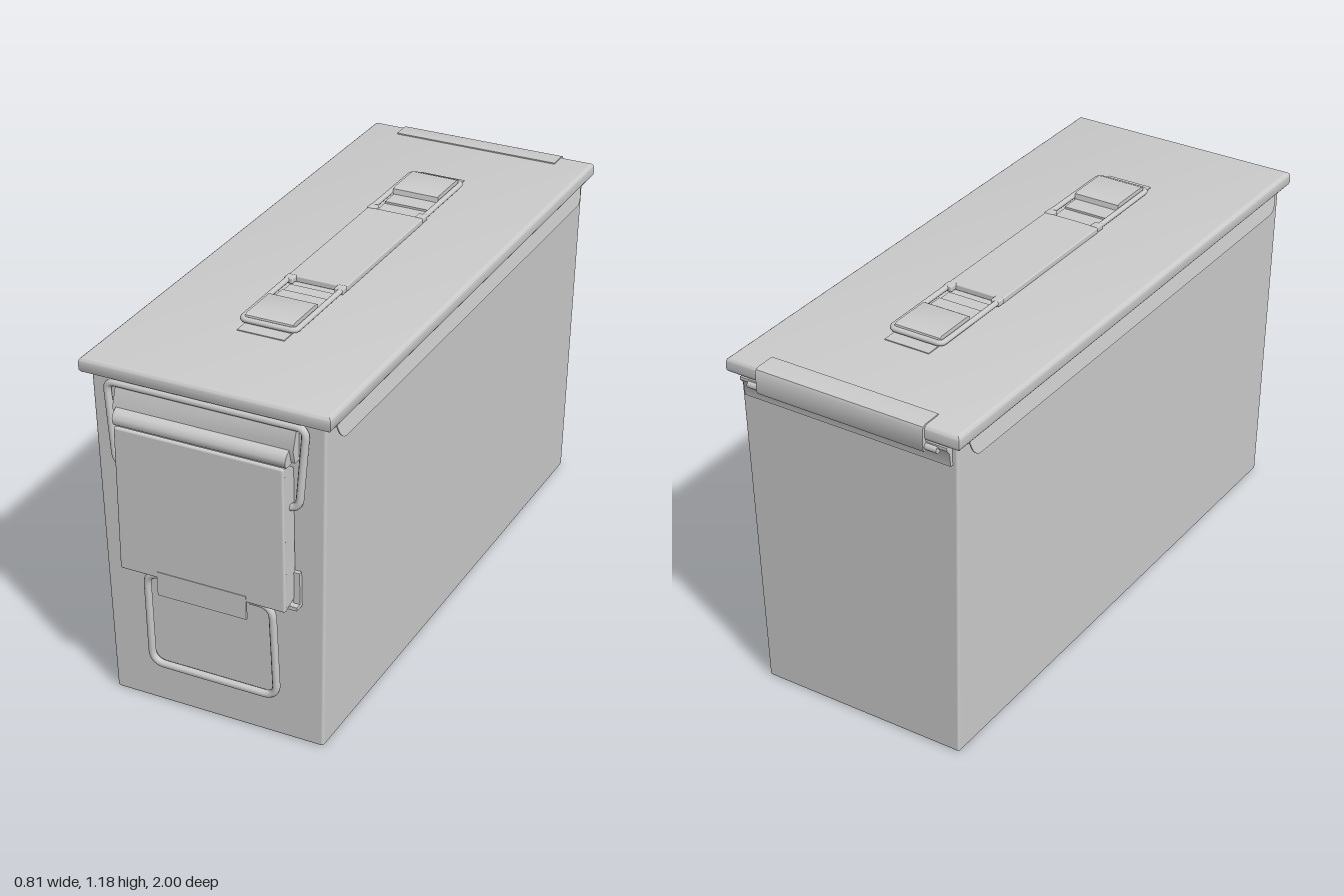
import * as THREE from 'three';
import { RoundedBoxGeometry } from 'three/addons/geometries/RoundedBoxGeometry.js';
import { toCreasedNormals } from 'three/addons/utils/BufferGeometryUtils.js';

const steel = new THREE.MeshStandardMaterial({ color: 0xcccccc, side: THREE.DoubleSide });
const V = (x, y, z) => new THREE.Vector3(x, y, z);

function add(parent, name, geometry) {
  const mesh = new THREE.Mesh(geometry, steel);
  mesh.name = name;
  parent.add(mesh);
  return mesh;
}

// Box given by its extents on each axis, optionally with rounded edges
function block(parent, name, [x0, x1], [y0, y1], [z0, z1], r = 0) {
  const s = [x1 - x0, y1 - y0, z1 - z0];
  const m = add(parent, name, r ? new RoundedBoxGeometry(...s, 3, r) : new THREE.BoxGeometry(...s));
  m.position.set((x0 + x1) / 2, (y0 + y1) / 2, (z0 + z1) / 2);
  return m;
}

// Bent wire: straight runs joined by rounded corners
function wire(parent, name, pts, bend, radius, closed = false) {
  const path = new THREE.CurvePath();
  const n = pts.length;
  const toward = (a, b) => a.clone().add(b.clone().sub(a).setLength(bend));
  let at = closed ? toward(pts[0], pts[1]) : pts[0];
  const first = at;
  for (let i = 1; i < (closed ? n + 1 : n - 1); i++) {
    const p = pts[i % n], before = toward(p, pts[i - 1]), after = toward(p, pts[(i + 1) % n]);
    path.add(new THREE.LineCurve3(at, before));
    path.add(new THREE.QuadraticBezierCurve3(before, p, after));
    at = after;
  }
  if (!closed) path.add(new THREE.LineCurve3(at, pts[n - 1]));
  else if (at.distanceTo(first) > 1e-4) path.add(new THREE.LineCurve3(at, first));
  return add(parent, name, new THREE.TubeGeometry(path, 140, radius, 10, false));
}

// Solid from a (z, y) outline, running along x between -half and +half
function profileX(parent, name, pts, half) {
  const shape = new THREE.Shape(pts.map(([z, y]) => new THREE.Vector2(-z, y)));
  const g = new THREE.ExtrudeGeometry(shape, { depth: 2 * half, bevelEnabled: false });
  g.translate(0, 0, -half).rotateY(Math.PI / 2);
  return add(parent, name, toCreasedNormals(g, 0.7));
}

function buildBody(root) {
  // Tapered can: slightly wider at the top than at the base
  const g = new RoundedBoxGeometry(0.71, 1.12, 1.865, 3, 0.008);
  const p = g.attributes.position;
  for (let i = 0; i < p.count; i++) {
    const t = p.getY(i) / 1.12 + 0.5;
    p.setXYZ(i, p.getX(i) * (1 + 0.068 * t), p.getY(i) + 0.56, p.getZ(i) * (1 + 0.014 * t) - 0.0125);
  }
  add(root, 'body', g);

  // Flared rain flanges along both long sides, with rounded lower corners
  for (const s of [-1, 1]) {
    const shape = new THREE.Shape();
    shape.moveTo(-0.89, 0.065);
    shape.quadraticCurveTo(-0.885, 0, -0.84, 0);
    shape.lineTo(0.87, 0);
    shape.quadraticCurveTo(0.91, 0, 0.915, 0.065);
    const f = new THREE.ExtrudeGeometry(shape, { depth: 0.004, bevelEnabled: false });
    f.rotateY(Math.PI / 2);
    const q = f.attributes.position;
    for (let i = 0; i < q.count; i++) {
      const y = q.getY(i);
      q.setX(i, s * (q.getX(i) + 0.394 - 0.18 * y));
      q.setY(i, y + 1.04);
    }
    if (s < 0) f.setIndex([...Array(q.count).keys()].map(i => i - i % 3 + (2 - i % 3)));
    f.computeVertexNormals();
    add(root, s > 0 ? 'leftFlange' : 'rightFlange', f);
  }
}

function buildLid(root) {
  // Flat lid with a rolled, rounded rim
  const b = 0.014, x = 0.405 - b, z0 = -0.99 + b, z1 = 0.96 - b;
  const shape = new THREE.Shape([[-x, -z1], [x, -z1], [x, -z0], [-x, -z0]].map(c => new THREE.Vector2(...c)));
  const g = new THREE.ExtrudeGeometry(shape, { depth: 0.022, bevelSize: b, bevelThickness: b, bevelSegments: 4 });
  g.rotateX(-Math.PI / 2).translate(0, 1.102 + b, 0);
  add(root, 'lid', toCreasedNormals(g, 0.6));
}

function buildCarryHandle(root) {
  const handle = new THREE.Group();
  handle.name = 'carryHandle';
  handle.position.z = -0.025;
  root.add(handle);
  block(handle, 'gripStrap', [-0.098, 0.098], [1.152, 1.172], [-0.275, 0.275], 0.004);
  // One clip at each end: base plate, raised bridge, lower web and wire loop
  for (const s of [-1, 1]) {
    const clip = new THREE.Group();
    clip.name = s > 0 ? 'frontClip' : 'rearClip';
    clip.rotation.y = s > 0 ? 0 : Math.PI;
    handle.add(clip);
    block(clip, 'basePlate', [-0.078, 0.078], [1.148, 1.155], [0.3, 0.635]);
    profileX(clip, 'bridge', [[0.42, 1.154], [0.425, 1.178], [0.432, 1.182], [0.57, 1.182], [0.58, 1.178], [0.588, 1.154]], 0.08);
    block(clip, 'web', [-0.076, 0.076], [1.152, 1.162], [0.355, 0.42]);
    wire(clip, 'loop', [V(-0.09, 1.166, 0.29), V(-0.09, 1.166, 0.588), V(0.09, 1.166, 0.588), V(0.09, 1.166, 0.29)],
      0.02, 0.009);
    for (const x of [-1, 1]) {
      block(clip, 'strapEar', x > 0 ? [0.07, 0.1] : [-0.1, -0.07], [1.155, 1.174], [0.268, 0.3], 0.004);
    }
  }
}

function buildHinge(root) {
  const hinge = new THREE.Group();
  hinge.name = 'hinge';
  root.add(hinge);
  // Leaf wrapped over the rear lid edge
  profileX(hinge, 'hingeLeaf', [[-0.92, 1.148], [-0.92, 1.156], [-0.985, 1.156], [-0.996, 1.151],
    [-1, 1.142], [-1, 1.08], [-0.995, 1.07], [-0.985, 1.07], [-0.985, 1.148]], 0.29);
  const pin = add(hinge, 'hingePin', new THREE.CylinderGeometry(0.012, 0.012, 0.66, 12));
  pin.rotation.z = Math.PI / 2;
  pin.position.set(0, 1.084, -0.982);
  // Fixed leaf on the back of the can
  profileX(hinge, 'fixedLeaf', [[-0.95, 1.03], [-0.967, 1.03], [-0.972, 1.075], [-0.985, 1.09], [-0.985, 1.1], [-0.95, 1.1]], 0.36);
}

function buildLatch(root) {
  const latch = new THREE.Group();
  latch.name = 'latch';
  root.add(latch);
  // Pressed cover with folded sides and a pull tab
  block(latch, 'cover', [-0.275, 0.275], [0.497, 0.975], [0.982, 0.998], 0.007);
  block(latch, 'pullTab', [-0.148, 0.148], [0.44, 0.52], [0.993, 1]);
  for (const s of [-1, 1]) {
    const side = profileX(latch, 'coverSide', [[0.932, 0.52], [0.99, 0.5], [0.99, 0.972], [0.965, 0.972], [0.932, 0.95]], 0.004);
    side.position.x = s * 0.27;
    // L-shaped mounting bracket below the cover
    block(latch, 'bracketUpright', s > 0 ? [0.27, 0.293] : [-0.293, -0.27], [0.49, 0.605], [0.918, 0.94]);
    block(latch, 'bracketFoot', s > 0 ? [0.148, 0.293] : [-0.293, -0.148], [0.488, 0.5], [0.918, 0.96]);
  }
  // Rolled lip and upper plate leaning back under the lid
  profileX(latch, 'rolledLip', [[0.955, 0.975], [0.985, 0.975], [0.993, 0.985], [0.993, 1.0], [0.985, 1.015], [0.97, 1.024], [0.955, 1.024]], 0.28);
  profileX(latch, 'upperPlate', [[0.925, 0.98], [0.958, 0.98], [0.968, 1.022], [0.94, 1.1], [0.925, 1.1]], 0.292);

  // Closing bail hooked over the lid rim
  wire(latch, 'closingBail', [V(-0.26, 0.828, 0.95), V(-0.3, 0.832, 0.95), V(-0.322, 1.09, 0.945),
    V(0.322, 1.09, 0.945), V(0.3, 0.832, 0.95), V(0.26, 0.828, 0.95)], 0.03, 0.012);
  // Hanging side handle
  wire(latch, 'pullHandle', [V(-0.14, 0.478, 0.955), V(-0.21, 0.478, 0.955), V(-0.212, 0.15, 0.94),
    V(0.212, 0.15, 0.94), V(0.21, 0.478, 0.955), V(0.14, 0.478, 0.955)], 0.045, 0.012);
}

export function createModel() {
  const root = new THREE.Group();
  root.name = 'storageCan';
  buildBody(root);
  buildLid(root);
  buildCarryHandle(root);
  buildHinge(root);
  buildLatch(root);
  return root;
}
